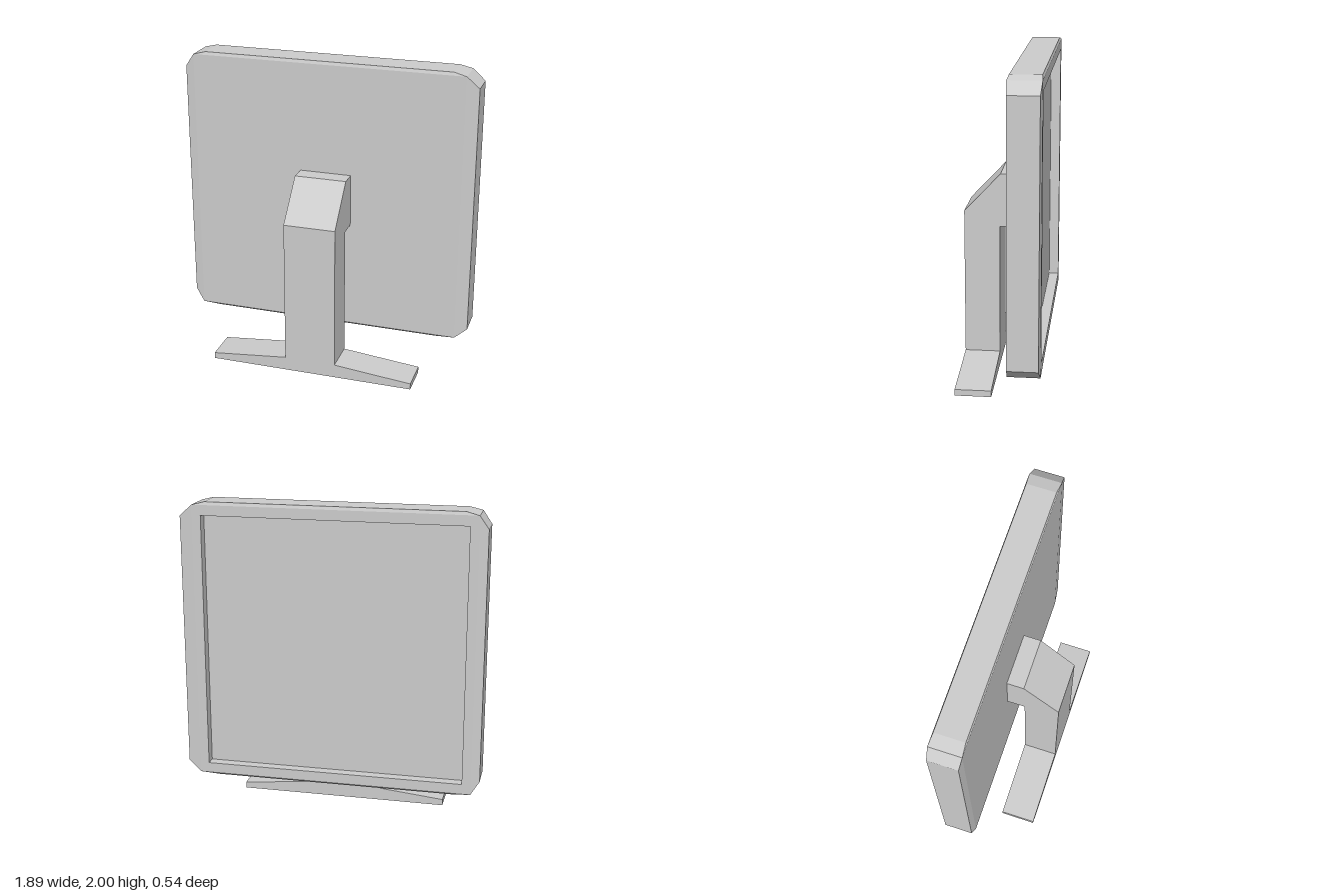
import * as THREE from 'three';

// Flat-faced geometry from quads listed counter-clockwise
function quadGeometry(quads) {
  const pos = [];
  for (const [a, b, c, d] of quads) pos.push(...a, ...b, ...c, ...a, ...c, ...d);
  const geo = new THREE.BufferGeometry();
  geo.setAttribute('position', new THREE.Float32BufferAttribute(pos, 3));
  geo.computeVertexNormals();
  return geo;
}

function extrude(points, depth) {
  const shape = new THREE.Shape(points.map(([x, y]) => new THREE.Vector2(x, y)));
  return new THREE.ExtrudeGeometry(shape, { depth, bevelEnabled: false });
}

// Display housing: chamfered corners, softly bevelled rim, recessed screen at -z
function housingParts() {
  const front = -0.07, back = -0.27, rim = 0.007, floor = -0.205;
  // each corner: point before, corner point, point after
  const corners = [
    [[0.945, 1.91], [0.865, 1.98], [0.785, 2.0]],
    [[-0.81, 2.0], [-0.89, 1.98], [-0.945, 1.9]],
    [[-0.945, 0.32], [-0.89, 0.23], [-0.77, 0.22]],
    [[0.74, 0.22], [0.865, 0.23], [0.945, 0.3]],
  ];
  const hole = [[0.81, 1.915], [-0.835, 1.915], [-0.835, 0.295], [0.81, 0.295]];
  const at = ([x, y], z) => [x, y, z];
  const outline = corners.flat();
  const quads = [corners.map((c) => at(c[1], front))];

  // outer sides
  outline.forEach((p, i) => {
    const j = (i + 1) % outline.length, q = outline[j];
    const ip = i % 3 === 1 ? 0 : rim, iq = j % 3 === 1 ? 0 : rim;
    quads.push([at(p, back + ip), at(q, back + iq), at(q, front - iq), at(p, front - ip)]);
  });

  for (let k = 0; k < 4; k++) {
    const n = (k + 1) % 4;
    const [, m, a] = corners[k], [b, m2] = corners[n];
    // bevel strips on both faces
    quads.push([at(a, front - rim), at(b, front - rim), at(m2, front), at(m, front)]);
    quads.push([at(m, back), at(m2, back), at(b, back + rim), at(a, back + rim)]);
    // bezel and recess walls
    quads.push([at(hole[k], back), at(hole[n], back), at(m2, back), at(m, back)]);
    quads.push([at(hole[k], floor), at(hole[n], floor), at(hole[n], back), at(hole[k], back)]);
  }
  const screen = [[...hole].reverse().map((p) => at(p, floor))];
  return { housing: quadGeometry(quads), screen: quadGeometry(screen) };
}

export function createModel() {
  const model = new THREE.Group();
  model.name = 'monitor';
  const grey = new THREE.MeshStandardMaterial({ color: 0xcccccc });
  grey.name = 'light grey';
  const add = (name, geo) => {
    const mesh = new THREE.Mesh(geo, grey);
    mesh.name = name;
    model.add(mesh);
    return mesh;
  };

  const { housing, screen } = housingParts();
  add('housing', housing);
  add('screen', screen);

  // Stand column with its arm: side profile (z, y) swept across x
  const column = extrude([
    [0.27, 0], [0.27, 1.03], [0.04, 1.275], [-0.07, 1.275],
    [-0.07, 0.935], [0.045, 0.935], [0.045, 0],
  ], 0.335);
  column.rotateY(-Math.PI / 2).translate(0.155, 0, 0);
  add('standColumn', column);

  // Tapered feet on either side of the column
  for (const [name, inner, outer] of [['leftFoot', 0.155, 0.66], ['rightFoot', -0.18, -0.68]]) {
    const foot = extrude([[inner, 0], [outer, 0], [outer, 0.04], [inner, 0.09]], 0.225);
    add(name, foot.translate(0, 0, 0.045));
  }

  return model;
}
